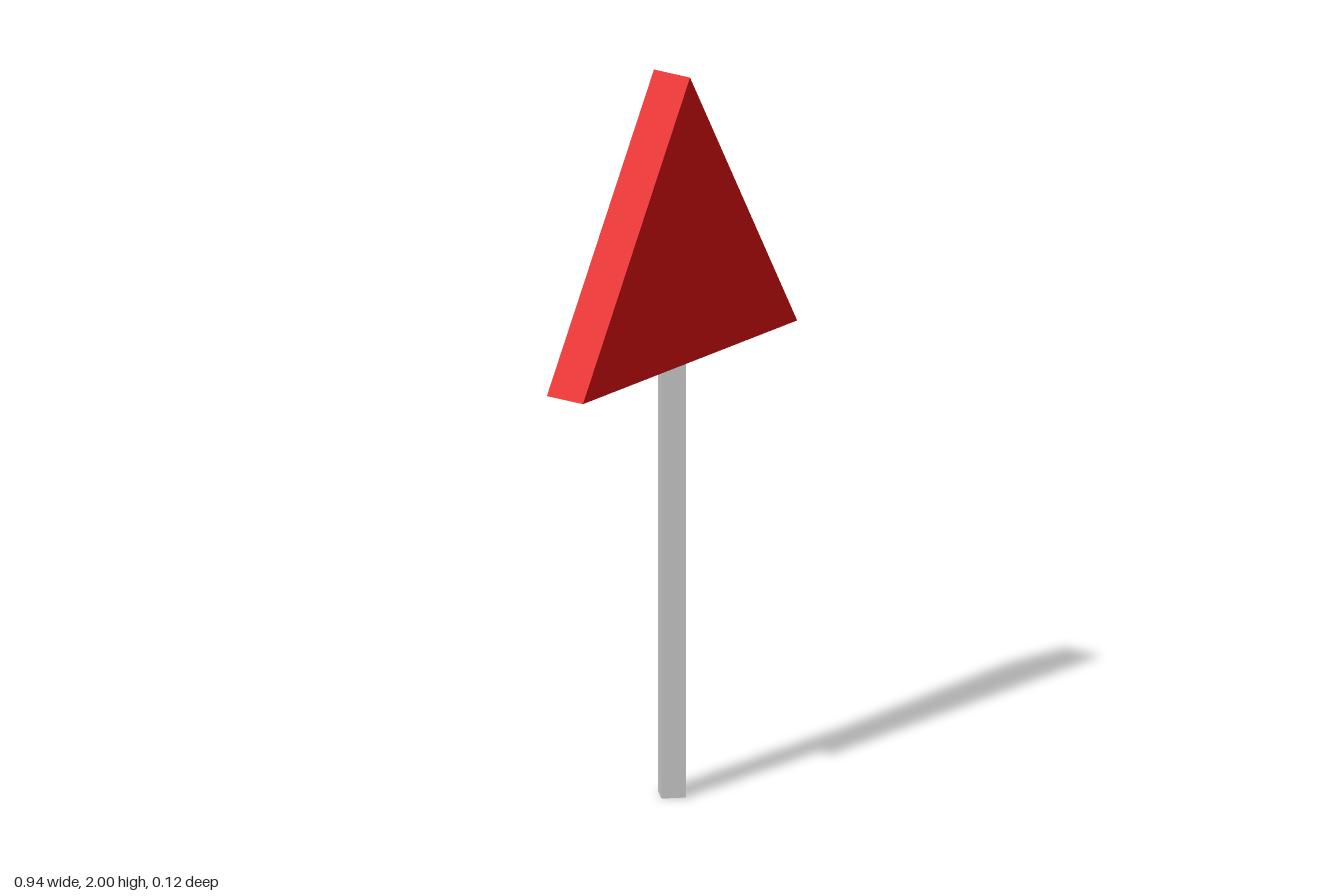
import * as THREE from 'three';

export function createModel() {
  const model = new THREE.Group();
  const baseY = 1.21, topY = 2, halfWidth = 0.47, depth = 0.12;

  // Square post, turned so its edges face front and sides
  const post = new THREE.Mesh(
    new THREE.CylinderGeometry(0.046, 0.046, baseY, 4),
    new THREE.MeshStandardMaterial({ color: 0xcccccc, flatShading: true })
  );
  post.name = 'post';
  post.position.y = baseY / 2;
  model.add(post);

  // Thick triangular sign panel
  const triangle = new THREE.Shape([
    new THREE.Vector2(-halfWidth, baseY),
    new THREE.Vector2(halfWidth, baseY),
    new THREE.Vector2(0, topY),
  ]);
  const panel = new THREE.Mesh(
    new THREE.ExtrudeGeometry(triangle, { depth, bevelEnabled: false }),
    new THREE.MeshStandardMaterial({ color: 0xe51212, flatShading: true })
  );
  panel.name = 'signPanel';
  panel.position.z = -depth / 2;
  model.add(panel);

  return model;
}
